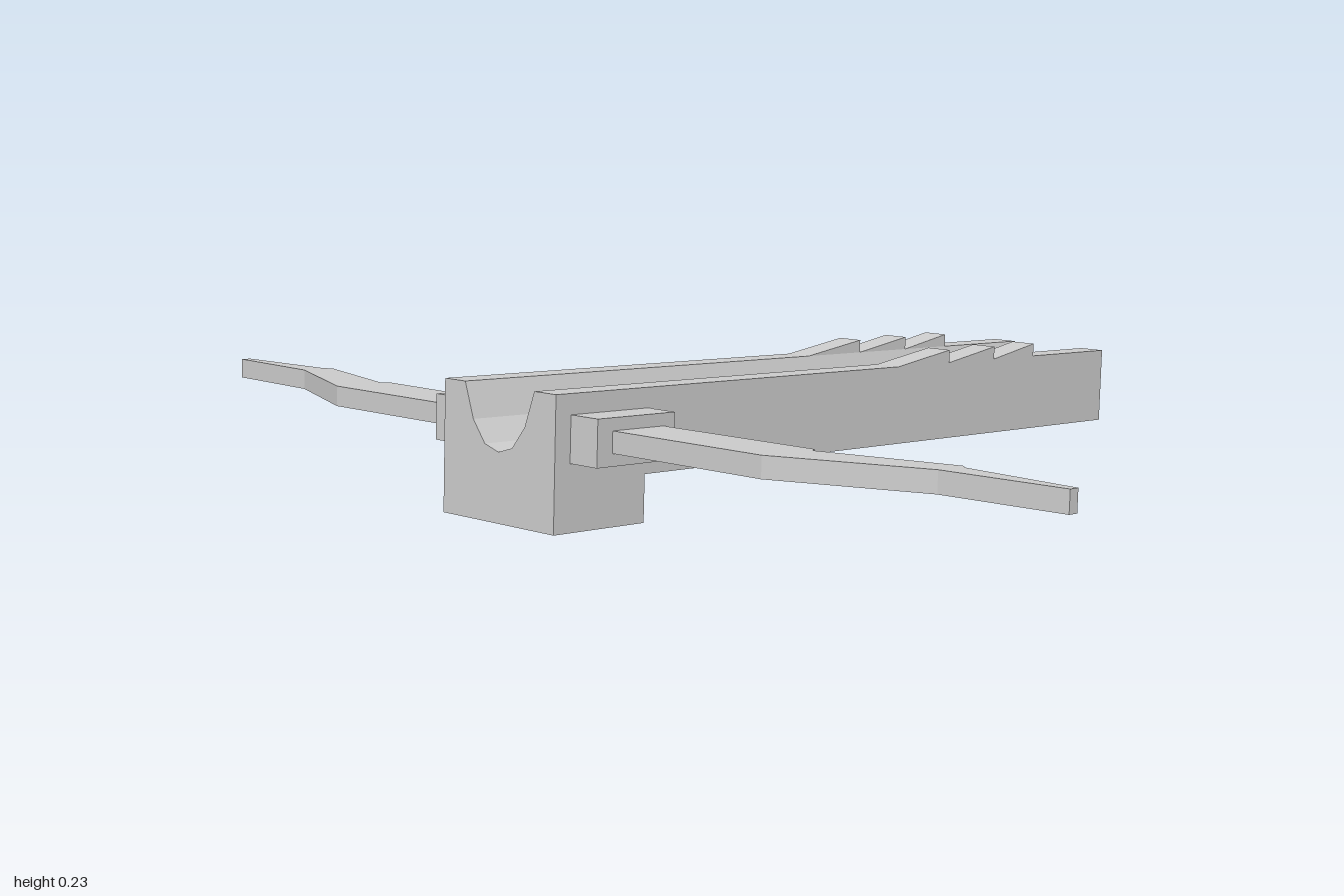
import * as THREE from 'three';

const material = new THREE.MeshStandardMaterial({ color: 0xcccccc, flatShading: true });

// flat outline pushed to a given depth
function extrude(points, depth) {
  const shape = new THREE.Shape(points.map(([x, y]) => new THREE.Vector2(x, y)));
  return new THREE.ExtrudeGeometry(shape, { depth, bevelEnabled: false });
}

export function createModel() {
  const model = new THREE.Group();
  model.name = 'crossbowFrame';
  const tilted = new THREE.Group();
  tilted.name = 'tiltedFrame';
  tilted.rotation.x = -0.047;
  tilted.position.y = -0.004;
  model.add(tilted);

  const add = (name, geometry, x = 0, y = 0, z = 0) => {
    const mesh = new THREE.Mesh(geometry, material);
    mesh.name = name;
    mesh.position.set(x, y, z);
    tilted.add(mesh);
  };

  const half = 0.138, grooveHalf = 0.086, top = 0.203, under = 0.06;
  const back = -0.733, front = 0.74;

  // stock with a rounded groove along its top
  const groove = [[grooveHalf, top], [0.064, 0.143], [0.034, 0.106], [0, 0.096],
    [-0.034, 0.106], [-0.064, 0.143], [-grooveHalf, top]];
  add('stock', extrude([[-half, under], [half, under], [half, top], ...groove, [-half, top]],
    front - back), 0, 0, back);

  // block below the front end
  add('frontBlock', new THREE.BoxGeometry(half * 2, 0.081, 0.195), 0, 0.0195, 0.6425);

  for (const side of [1, -1]) {
    const name = side > 0 ? 'left' : 'right';

    // ratchet teeth on the rails, each rising towards the back
    const railWidth = half - grooveHalf;
    const stops = [-0.09, -0.237, -0.374, -0.499];
    for (let i = 0; i < 3; i++) {
      const tooth = extrude([[stops[i], top], [stops[i + 1], top], [stops[i + 1], top + 0.024]], railWidth);
      tooth.rotateY(-Math.PI / 2);
      add(name + 'Tooth' + (i + 1), tooth, side > 0 ? half : -grooveHalf);
    }

    // lug holding the arm
    add(name + 'Lug', new THREE.BoxGeometry(0.07, 0.078, 0.167), side * 0.166, 0.13, 0.6245);

    // bent tapering arm, outlined from above
    const outline = [[0.19, 0.566], [0.525, 0.561], [0.535, 0.575], [0.772, 0.509], [0.784, 0.521],
      [1, 0.541], [1, 0.56], [0.775, 0.571], [0.525, 0.676], [0.19, 0.676]];
    const arm = extrude(outline.map(([x, z]) => [side * x, z]), 0.036);
    arm.rotateX(Math.PI / 2);
    add(name + 'Arm', arm, 0, 0.148);
  }
  return model;
}
